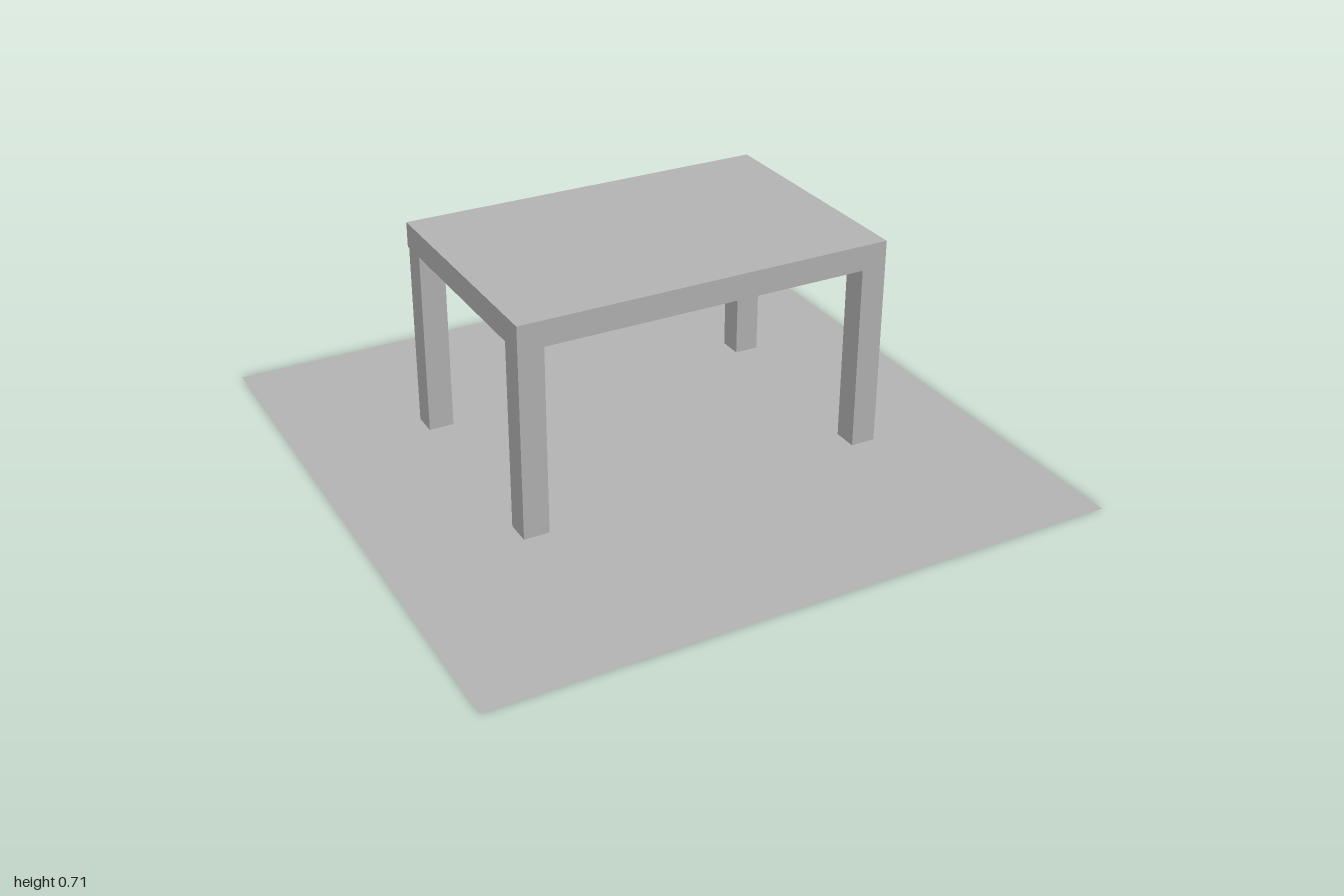
import * as THREE from 'three';

export function createModel() {
  const model = new THREE.Group();
  const grey = new THREE.MeshStandardMaterial({ color: 0xb2b2b2 });
  grey.name = 'plain grey';
  grey.side = THREE.DoubleSide;

  const add = (name, geometry, x, y, z) => {
    const mesh = new THREE.Mesh(geometry, grey);
    mesh.name = name;
    mesh.position.set(x, y, z);
    model.add(mesh);
  };

  // Thin square floor
  add('floor', new THREE.PlaneGeometry(2, 2).rotateX(-Math.PI / 2), 0, 0, 0);

  // Table top slab
  add('tableTop', new THREE.BoxGeometry(1.196, 0.08, 0.797), -0.002, 0.675, 0.0015);

  // Square legs, hovering just above the floor; the back pair is slightly inset
  const leg = new THREE.BoxGeometry(0.08, 0.595, 0.08);
  const legY = 0.04 + 0.595 / 2;
  add('frontRightLeg', leg, -0.56, legY, 0.36);
  add('frontLeftLeg', leg, 0.556, legY, 0.36);
  add('backRightLeg', leg, -0.56, legY, -0.346);
  add('backLeftLeg', leg, 0.56, legY, -0.346);

  return model;
}
